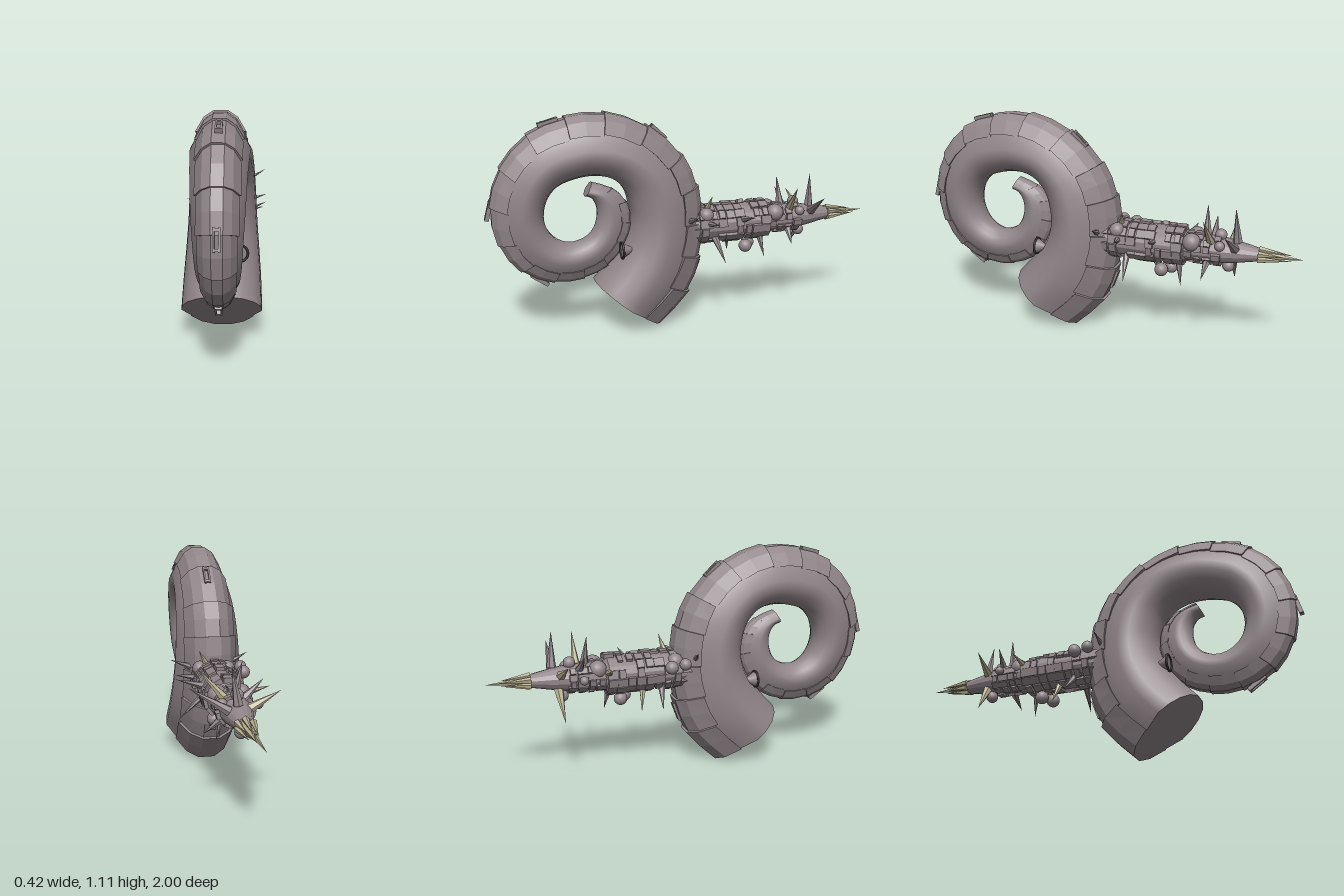
import * as THREE from 'three';
import { mergeGeometries } from 'three/addons/utils/BufferGeometryUtils.js';

const CX = -0.015; // centre plane of the coil and arm
const AXIS_Y = 0.51; // height of the arm axis

// Stations along the coil: outer z, outer y, inner z, inner y, half width
const STATIONS = [
  [0.17, 0, 0.5, 0.26, 0.195], [0.02, 0.17, 0.41, 0.36, 0.19], [-0.04, 0.35, 0.34, 0.46, 0.18],
  [-0.055, 0.53, 0.31, 0.56, 0.17], [-0.03, 0.72, 0.315, 0.64, 0.163], [0.05, 0.88, 0.34, 0.72, 0.155],
  [0.22, 1.03, 0.4, 0.78, 0.145], [0.43, 1.1, 0.49, 0.8, 0.137], [0.62, 1.085, 0.58, 0.79, 0.13],
  [0.8, 1.01, 0.67, 0.755, 0.122], [0.93, 0.86, 0.72, 0.69, 0.115], [0.985, 0.68, 0.735, 0.6, 0.107],
  [0.955, 0.49, 0.71, 0.53, 0.1], [0.855, 0.35, 0.67, 0.49, 0.092], [0.7, 0.28, 0.62, 0.47, 0.086],
  [0.55, 0.285, 0.57, 0.475, 0.08], [0.43, 0.34, 0.52, 0.5, 0.075], [0.345, 0.44, 0.49, 0.54, 0.07],
  [0.31, 0.55, 0.475, 0.6, 0.065], [0.33, 0.66, 0.48, 0.65, 0.06], [0.4, 0.73, 0.505, 0.69, 0.055],
  [0.5, 0.765, 0.535, 0.7, 0.048],
];
const LAST = STATIONS.length - 1;
const outerCurve = new THREE.CatmullRomCurve3(STATIONS.map((s) => new THREE.Vector3(s[4], s[1], s[0])));
const innerCurve = new THREE.CatmullRomCurve3(STATIONS.map((s) => new THREE.Vector3(s[4], s[3], s[2])));

// Half sections as [depth from outer edge, share of half width]
const BODY = [[0.02, 0.2], [0.12, 0.5], [0.32, 0.75], [0.53, 1], [0.68, 0.96], [0.82, 0.8], [0.93, 0.54], [0.99, 0.2]];
const PLATE = [[0, 0.22], [0.1, 0.53], [0.31, 0.79], [0.31, 0.5]];

function ring(u, section, depthShift = 0, widen = 1) {
  const o = outerCurve.getPoint(u / LAST), i = innerCurve.getPoint(u / LAST);
  const at = ([d, w], side) => {
    const k = d + depthShift;
    return [CX + side * w * widen * o.x, o.y + (i.y - o.y) * k, o.z + (i.z - o.z) * k];
  };
  return [...section.map((p) => at(p, 1)), ...section.map((p) => at(p, -1)).reverse()];
}

// Skin between closed rings
function loft(rings) {
  const n = rings[0].length, index = [];
  for (let r = 0; r < rings.length - 1; r++) {
    for (let k = 0; k < n; k++) {
      const a = r * n + k, b = r * n + ((k + 1) % n);
      index.push(a, b + n, b, a, a + n, b + n);
    }
  }
  const g = new THREE.BufferGeometry();
  g.setAttribute('position', new THREE.Float32BufferAttribute(rings.flat(2), 3));
  g.setIndex(index);
  g.computeVertexNormals();
  return g;
}

// Flat end face of a ring
function cap(points, flip) {
  const n = points.length;
  const c = [0, 1, 2].map((j) => points.reduce((s, p) => s + p[j], 0) / n);
  const index = [];
  for (let k = 0; k < n; k++) {
    const a = k, b = (k + 1) % n;
    index.push(n, flip ? b : a, flip ? a : b);
  }
  const g = new THREE.BufferGeometry();
  g.setAttribute('position', new THREE.Float32BufferAttribute([...points, c].flat(), 3));
  g.setIndex(index);
  g.computeVertexNormals();
  return g;
}

function flat(g) {
  const f = g.toNonIndexed();
  f.computeVertexNormals();
  return f;
}

export function createModel() {
  const model = new THREE.Group();
  const mat = (name, color) => Object.assign(new THREE.MeshStandardMaterial({ color }), { name });
  const hide = mat('mauve grey', 0x91868a);
  const bone = mat('bone', 0xb9b193);
  const dark = mat('dark metal', 0x353133);
  const add = (name, geo, material, x = 0, y = 0, z = 0) => {
    const m = new THREE.Mesh(geo, material);
    m.name = name;
    m.position.set(x, y, z);
    model.add(m);
    return m;
  };

  // Coiled body with closed ends
  const rings = [];
  for (let k = 0; k <= LAST * 5; k++) rings.push(ring(k / 5, BODY));
  add('coilBody', loft(rings), hide);
  add('coilBaseFace', flat(cap(rings[0], false)), hide);
  add('coilTipFace', flat(cap(rings[rings.length - 1], true)), hide);

  // Overlapping plates along the outer edge
  for (let k = 0; k < LAST; k++) {
    const pr = [ring(k, PLATE), ring(k + 0.5, PLATE, -0.015, 1.02), ring(k + 1, PLATE, -0.03, 1.06)];
    const parts = [loft(pr), cap(pr[0], false), cap(pr[2], true)].map(flat);
    add('coilPlate', mergeGeometries(parts), hide);
  }

  // Brackets mounted on the plates
  for (const u of [1.6, 5.7, 8.4, 11.1, 13.6]) {
    const o = outerCurve.getPoint(u / LAST), i = innerCurve.getPoint(u / LAST);
    const bracket = new THREE.Group();
    bracket.name = 'bracket';
    for (const [x, z, w, l] of [[-0.012, 0, 0.008, 0.1], [0.012, 0, 0.008, 0.1], [0, -0.04, 0.032, 0.012], [0, 0.04, 0.032, 0.012]]) {
      const bar = new THREE.Mesh(new THREE.BoxGeometry(w, 0.02, l), hide);
      bar.name = 'bracketBar';
      bar.position.set(x, 0, z);
      bracket.add(bar);
    }
    const out = new THREE.Vector3(0, o.y - i.y, o.z - i.z).normalize();
    bracket.position.set(CX, o.y + out.y * 0.008, o.z + out.z * 0.008);
    bracket.rotation.x = Math.atan2(out.z, out.y);
    model.add(bracket);
  }

  // Ringed side horns at the inside of the coil
  for (const side of [-1, 1]) {
    const x = CX + side * 0.085;
    const horn = add('sideHorn', new THREE.ConeGeometry(0.04, 0.07, 20), hide, x, 0.43, 0.335);
    horn.rotation.x = -Math.PI / 2;
    add('hornRing', new THREE.TorusGeometry(0.04, 0.006, 8, 24), dark, x, 0.43, 0.37);
  }

  // Arm reaching backwards, stepped and tapering
  const profile = [[0, -0.1], [0.1, -0.1], [0.1, 0.4], [0.078, 0.42], [0.07, 0.6], [0.06, 0.66], [0.036, 0.77], [0, 0.77]];
  const armGeo = flat(new THREE.LatheGeometry(profile.map(([r, l]) => new THREE.Vector2(r, l)), 14));
  armGeo.rotateX(-Math.PI / 2);
  armGeo.scale(1.06, 0.9, 1);
  add('arm', armGeo, hide, CX, AXIS_Y, 0);

  // Irregular brick panels on the arm
  let seed = 7;
  const rand = () => (seed = (seed * 16807) % 2147483647) / 2147483647;
  const bricks = [];
  for (let row = 0; row < 13; row++) {
    for (let k = 0; k < 14; k++) {
      if (rand() < 0.25) continue;
      const z = -0.01 - row * 0.047;
      const r = row < 9 ? 0.1 : 0.074;
      const a = ((k + 0.5) / 14) * Math.PI * 2;
      const b = new THREE.BoxGeometry(r * 0.42, 0.012 + rand() * 0.016, 0.025 + rand() * 0.03);
      b.rotateZ(a - Math.PI / 2);
      b.translate(Math.cos(a) * r * 1.06, Math.sin(a) * r * 0.9, z);
      bricks.push(b);
    }
  }
  add('armBricks', mergeGeometries(bricks), hide, CX, AXIS_Y, 0);

  // Spike from base to tip
  const spike = (name, base, tip, radius, material, sides = 6) => {
    const a = new THREE.Vector3(...base), d = new THREE.Vector3(...tip).sub(a);
    const g = flat(new THREE.ConeGeometry(radius, d.length(), sides));
    const m = add(name, g, material, ...a.clone().addScaledVector(d, 0.5).toArray());
    m.quaternion.setFromUnitVectors(new THREE.Vector3(0, 1, 0), d.normalize());
  };

  // Spikes standing out from the arm: tip x, y, z and material
  const tips = [
    [0.2, 0.6, 0.01, hide], [-0.2, 0.62, 0.02, hide], [-0.08, 0.68, 0.03, hide], [0.19, 0.55, -0.1, hide],
    [0.07, 0.67, -0.1, bone], [0.21, 0.58, -0.28, hide], [-0.21, 0.57, -0.42, bone], [0.15, 0.7, -0.53, bone],
    [-0.06, 0.72, -0.5, hide], [0.02, 0.74, -0.655, hide], [0.21, 0.65, -0.65, hide], [-0.21, 0.61, -0.62, bone],
    [-0.15, 0.64, -0.53, hide], [0.17, 0.34, -0.14, hide], [-0.1, 0.32, -0.24, bone], [0.04, 0.31, -0.4, hide],
    [-0.15, 0.32, -0.63, bone], [0.12, 0.39, -0.52, hide], [-0.17, 0.34, -0.15, hide],
  ];
  for (const [x, y, z, m] of tips) {
    const dx = x - CX, dy = y - AXIS_Y, s = 0.055 / Math.hypot(dx, dy);
    spike('armSpike', [CX + dx * s, AXIS_Y + dy * s, z + (z < -0.45 ? -0.01 : 0.025)], [x, y, z], 0.024, m);
  }

  // Pointed cluster at the end of the arm
  for (let k = 0; k < 6; k++) {
    const a = ((k + 0.5) / 6) * Math.PI * 2, c = Math.cos(a), s = Math.sin(a);
    spike('endSpike', [CX + c * 0.04, AXIS_Y + s * 0.028, -0.77], [CX + c * 0.022, AXIS_Y + s * 0.014, -0.89 - (k % 3) * 0.02], 0.016, bone, 5);
  }
  spike('endSpike', [CX, AXIS_Y, -0.76], [CX, AXIS_Y, -0.985], 0.026, bone, 5);

  // Round growths on the arm: x, y, z, radius
  for (const [x, y, z, r] of [
    [-0.08, 0.56, -0.06, 0.04], [0.06, 0.57, -0.07, 0.038], [-0.155, 0.55, -0.1, 0.033], [-0.155, 0.56, -0.03, 0.03],
    [-0.065, 0.55, -0.45, 0.045], [0.045, 0.55, -0.45, 0.045], [-0.02, 0.585, -0.58, 0.03], [-0.13, 0.52, -0.53, 0.022],
    [0.03, 0.38, -0.295, 0.034], [-0.03, 0.38, -0.33, 0.034], [-0.03, 0.425, -0.62, 0.03], [0.05, 0.55, -0.59, 0.025],
  ]) add('growth', new THREE.SphereGeometry(r, 16, 12), hide, x, y, z);

  return model;
}
